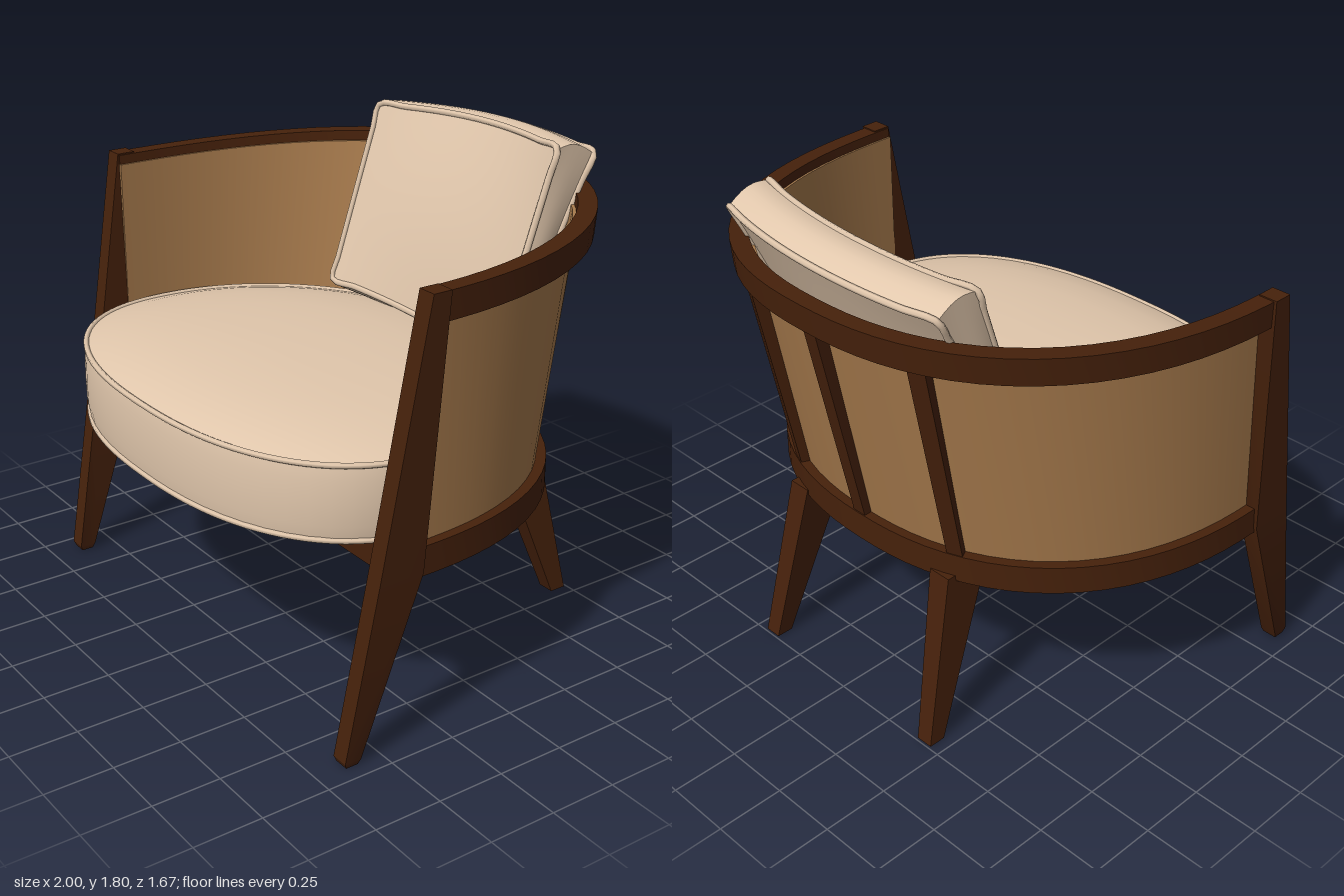
import * as THREE from 'three';
import { mergeGeometries, mergeVertices, toCreasedNormals } from 'three/addons/utils/BufferGeometryUtils.js';

const material = (name, color) => {
  const m = new THREE.MeshStandardMaterial({ color });
  m.name = name;
  return m;
};

// Closed solid through a row of equal rings, with sharp edges along its length.
function solid(rings) {
  const pos = [], idx = [], n = rings[0].length;
  for (let k = 0; k < n; k++) {
    const base = pos.length / 3;
    rings.forEach((r) => pos.push(...r[k], ...r[(k + 1) % n]));
    for (let i = 0; i < rings.length - 1; i++) {
      const a = base + 2 * i;
      idx.push(a, a + 1, a + 2, a + 1, a + 3, a + 2);
    }
  }
  [rings[0], rings[rings.length - 1]].forEach((r, end) => {
    const base = pos.length / 3;
    r.forEach((p) => pos.push(...p));
    for (let k = 1; k < n - 1; k++) {
      if (end) idx.push(base, base + k, base + k + 1);
      else idx.push(base, base + k + 1, base + k);
    }
  });
  // turn the faces outward if the rings run the other way
  const v = (i) => new THREE.Vector3().fromArray(pos, idx[i] * 3);
  let volume = 0;
  for (let i = 0; i < idx.length; i += 3) volume += v(i).dot(v(i + 1).cross(v(i + 2)));
  if (volume < 0) idx.reverse();
  const g = new THREE.BufferGeometry();
  g.setAttribute('position', new THREE.Float32BufferAttribute(pos, 3));
  g.setIndex(idx);
  g.computeVertexNormals();
  return g;
}

// Stretches a direction from a circle onto a fuller, squarer curve.
const fuller = (c, s, n) => Math.pow(Math.abs(c) ** n + Math.abs(s) ** n, -1 / n);

// Sweeps a section of [half width, depth, height, rise at back] round the curved back.
const FRONT = 0.365;
function arc(section, t0 = 0, t1 = Math.PI, steps = 40) {
  const rings = [];
  for (let i = 0; i <= steps; i++) {
    const t = t0 + ((t1 - t0) * i) / steps, c = Math.cos(t), s = Math.sin(t), k = fuller(c, s, 2.3);
    rings.push(section.map(([a, d, y, rise = 0]) => [a * k * c, y + rise * s * s, FRONT - d * k * s]));
  }
  return solid(rings);
}

// Leg from levels of [y, inner x, outer x, back z, front z].
const leg = (levels, side) => toCreasedNormals(solid(levels.map(([y, x0, x1, z0, z1]) =>
  [[side * x0, y, z0], [side * x1, y, z0], [side * x1, y, z1], [side * x0, y, z1]])), 0.3);

// Seat outline: r = 1 is the edge, angle 0 is the front.
function seatPoint(r, angle, y) {
  const s = Math.sin(angle), c = Math.cos(angle);
  const k = r * fuller(c, s, c > 0 ? 2.35 : 2);
  return new THREE.Vector3(0.9 * k * s, y, 0.25 + (c > 0 ? 0.58 : 0.8) * k * c);
}

function seatSurface(profile) {
  const g = new THREE.LatheGeometry(profile.map((p) => new THREE.Vector2(...p)), 64);
  const p = g.attributes.position;
  for (let i = 0; i < p.count; i++) {
    const x = p.getX(i), z = p.getZ(i);
    const q = seatPoint(Math.hypot(x, z), Math.atan2(x, z), p.getY(i));
    p.setXYZ(i, q.x, q.y, q.z);
  }
  g.deleteAttribute('uv');
  g.deleteAttribute('normal');
  const m = mergeVertices(g, 1e-4);
  m.computeVertexNormals();
  return m;
}

// Leaning, bent and puffed pillow: u across, v up, w from front to back.
function pillowPoint(u, v, w) {
  const across = Math.cos((u * Math.PI) / 2), up = Math.sin(v * Math.PI), thick = Math.sin(w * Math.PI);
  return new THREE.Vector3(
    0.485 * u + 0.02 * v * (1 + u) + 0.012 * u * thick * up,
    1.06 + 0.7 * v - 0.04 * w + 0.02 * u * (2 * v - 1) + 0.025 * thick * (2 * v - 1) + 0.012 * across * v,
    -0.31 - 0.22 * v - (0.085 + 0.085 * v * v) * w - (0.045 + 0.03 * v) * (1 - u * u)
      + 0.025 * across * up * (1 - 2 * w));
}

const piping = (points, radius) =>
  new THREE.TubeGeometry(new THREE.CatmullRomCurve3(points, true), 120, radius, 6, true);

export function createModel() {
  const group = new THREE.Group();
  const wood = material('dark wood', 0x46210b);
  const cane = material('tan panel', 0xa87b4d);
  cane.side = THREE.DoubleSide;
  const fabric = material('beige fabric', 0xe1c7ac);
  const add = (name, geometry, mat) => {
    const mesh = new THREE.Mesh(geometry, mat);
    mesh.name = name;
    group.add(mesh);
  };

  // Curved frame, with the panel lining the inside of the rail
  add('topRail', arc([[0.99, 1.205, 1.58, 0.045], [0.925, 1.14, 1.58, 0.045],
    [0.92, 1.125, 1.48, 0.045], [0.985, 1.195, 1.48, 0.045]]), wood);
  add('baseRail', arc([[0.955, 1.005, 0.725], [0.88, 0.93, 0.725], [0.88, 0.93, 0.62], [0.955, 1.005, 0.62]]), wood);
  add('backPanel', arc([[0.918, 0.965, 0.7], [0.936, 1.14, 1.545, 0.04],
    [0.916, 1.12, 1.545, 0.04], [0.905, 0.95, 0.7]]), cane);

  // Slats behind the panel
  [-0.43, 0, 0.43].forEach((offset, i) => {
    const t = Math.PI / 2 + offset;
    add(['leftSlat', 'middleSlat', 'rightSlat'][i], arc([[0.91, 0.955, 0.7], [0.955, 0.995, 0.7],
      [0.975, 1.18, 1.52, 0.03], [0.93, 1.13, 1.52, 0.03]], t - 0.03, t + 0.03, 2), wood);
  });

  // Seat plate and front bar
  add('seatPlate', arc([[0.9, 0.95, 0.71], [0, 0, 0.71], [0, 0, 0.64], [0.9, 0.95, 0.64]]), wood);
  add('frontBar', new THREE.BoxGeometry(1.81, 0.1, 0.09).translate(0, 0.672, 0.405), wood);

  // Legs
  for (const [name, side] of [['left', 1], ['right', -1]]) {
    add(name + 'FrontLeg', leg([[0, 0.885, 0.94, 0.595, 0.64], [0.02, 0.88, 0.946, 0.585, 0.648],
      [0.64, 0.9, 0.968, 0.36, 0.533], [1.585, 0.93, 1, 0.298, 0.368]], side), wood);
    add(name + 'BackLeg', leg([[0, 0.39, 0.455, -0.74, -0.675], [0.64, 0.325, 0.415, -0.605, -0.425]], side), wood);
  }

  // Seat cushion
  add('seatCushion', mergeGeometries([
    seatSurface([[0, 0.725], [0.5, 0.725], [0.985, 0.735]]),
    seatSurface([[0.985, 0.735], [0.998, 0.79], [1, 0.87], [0.998, 0.95], [0.985, 1]]),
    seatSurface([[0.985, 1], [0.9, 1.022], [0.75, 1.048], [0.55, 1.066], [0.3, 1.077], [0, 1.08]]),
  ]), fabric);
  for (const [name, y] of [['seatTopPiping', 1], ['seatBottomPiping', 0.738]]) {
    const points = Array.from({ length: 48 }, (_, i) => seatPoint(0.986, (i / 24) * Math.PI, y));
    add(name, piping(points, 0.011), fabric);
  }

  // Back pillow
  const pillow = new THREE.BoxGeometry(2, 1, 1, 18, 14, 6);
  const p = pillow.attributes.position;
  for (let i = 0; i < p.count; i++) {
    const q = pillowPoint(p.getX(i) , p.getY(i) + 0.5, 0.5 - p.getZ(i));
    p.setXYZ(i, q.x, q.y, q.z);
  }
  pillow.computeVertexNormals();
  add('backPillow', pillow, fabric);
  for (const [name, w] of [['pillowFrontPiping', 0], ['pillowBackPiping', 1]]) {
    const points = [];
    for (let i = 0; i < 8; i++) points.push(pillowPoint(-1 + i / 4, 0, w));
    for (let i = 0; i < 8; i++) points.push(pillowPoint(1, i / 8, w));
    for (let i = 0; i < 8; i++) points.push(pillowPoint(1 - i / 4, 1, w));
    for (let i = 0; i < 8; i++) points.push(pillowPoint(-1, 1 - i / 8, w));
    add(name, piping(points, 0.012), fabric);
  }
  return group;
}
